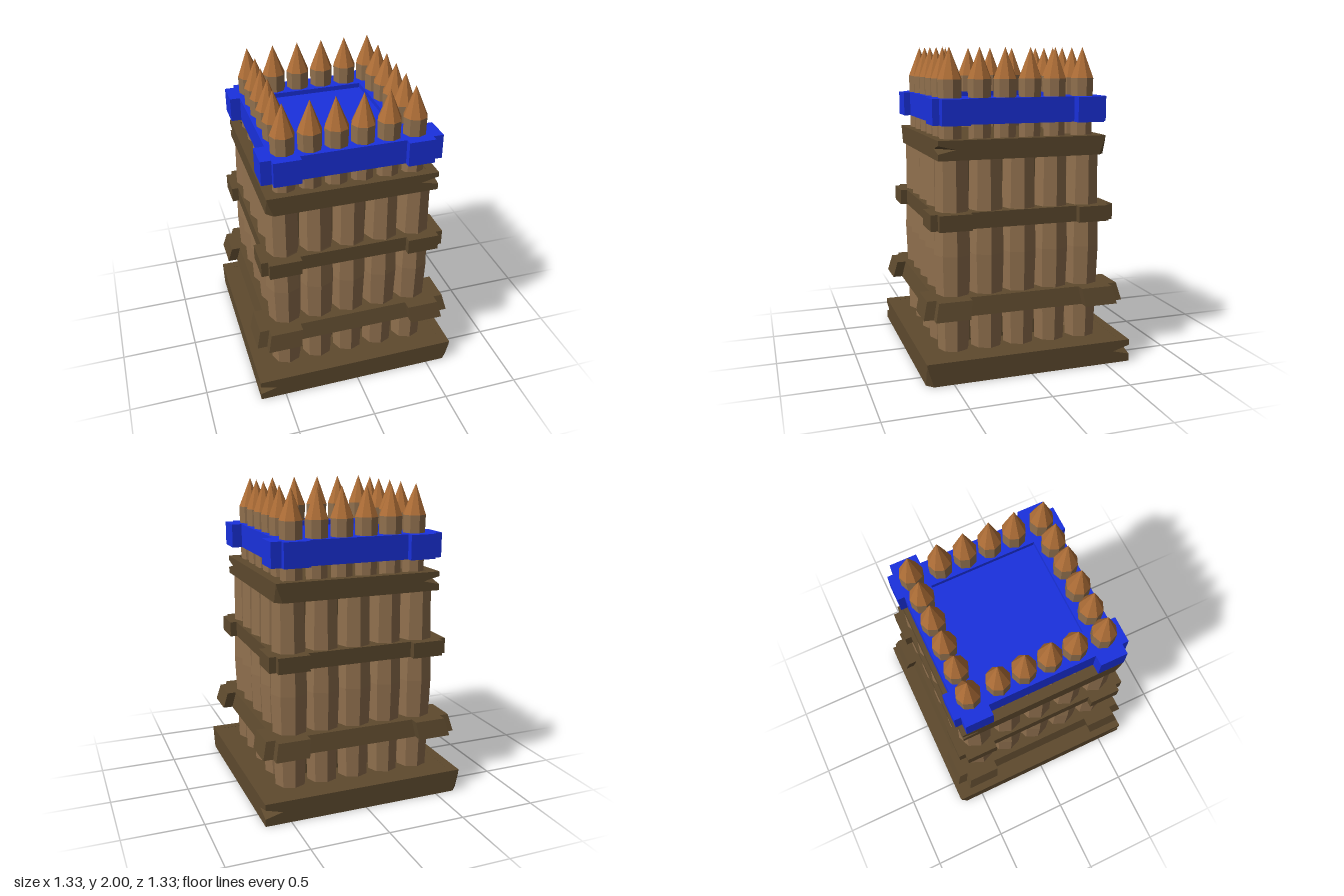
import * as THREE from 'three';

const log = new THREE.MeshStandardMaterial({ color: 0x90704e });
log.name = 'log wood';
const plank = new THREE.MeshStandardMaterial({ color: 0x5e4a2e });
plank.name = 'dark plank wood';
const tip = new THREE.MeshStandardMaterial({ color: 0xae6e37 });
tip.name = 'cut wood';
const blue = new THREE.MeshStandardMaterial({ color: 0x1a31de });
blue.name = 'blue paint';

// Small seeded generator for hand-hewn variation, -1 to 1
let seed = 7;
const vary = () => ((seed = (seed * 16807) % 2147483647) / 2147483647) * 2 - 1;

// Faceted mesh: unshared vertices with face normals
function mesh(name, geometry, material, x = 0, y = 0, z = 0) {
  const g = geometry.index ? geometry.toNonIndexed() : geometry;
  g.computeVertexNormals();
  const m = new THREE.Mesh(g, material);
  m.name = name;
  m.position.set(x, y, z);
  return m;
}

const lathe = (pts) => new THREE.LatheGeometry(pts.map((p) => new THREE.Vector2(...p)), 8);

// Square frame lofted through 12-point rings; two opposite corners are split
// by a pointed notch, the other two are chamfered towards the bottom.
function notchedFrame(name, h, y0, y1, notchFirst) {
  const H = y1 - y0, notchSize = 0.11, chamferSize = 0.04;
  // [half size, height, notch pull, chamfer pull], outside upwards then inside downwards
  const layers = [
    [h, y0, 0, 1], [h, y0 + H * 0.33, 0, 0.63], [h, y0 + H * 0.53, 1, 0.41],
    [h, y0 + H * 0.75, 0, 0.17], [h, y1, 0, 0],
    [h - 0.06, y1, 0, 0], [h - 0.06, y0 + H * 0.35, 0, 0], [h - 0.022, y0, 0, 0],
  ];
  const pos = [], idx = [];
  for (const [s, y, notch, chamfer] of layers) {
    for (let q = 0; q < 4; q++) {
      const notched = (q % 2 === 0) === notchFirst;
      const k = notched ? notchSize : chamferSize * chamfer + 0.001;
      const pull = notched ? (k / 2) * notch : k / 2;
      for (let [x, z] of [[s, s - k], [s - pull, s - pull], [s - k, s]]) {
        for (let r = 0; r < q; r++) [x, z] = [-z, x];
        pos.push(x, y, z);
      }
    }
  }
  const n = layers.length;
  for (let j = 0; j < n; j++) {
    for (let i = 0; i < 12; i++) {
      const a = j * 12 + i, b = j * 12 + ((i + 1) % 12);
      const c = ((j + 1) % n) * 12 + i, d = ((j + 1) % n) * 12 + ((i + 1) % 12);
      // the diagonal runs to the tip of the notch
      if (i % 3 < 2 && j === 2 - (i % 3)) idx.push(a, c, d, a, d, b);
      else idx.push(a, c, b, b, c, d);
    }
  }
  const g = new THREE.BufferGeometry();
  g.setAttribute('position', new THREE.Float32BufferAttribute(pos, 3));
  g.setIndex(idx);
  return mesh(name, g, plank);
}

// Strap with thickened corner blocks. reach: block face; fx, fz: strap faces;
// sx, sz: where the blocks start; an optional hole spans sx by sz.
function strap(name, reach, [fx, fz], [sx, sz], y0, y1, material, hollow = false, topScale = 1) {
  const quarter = [[fx, sz], [reach, sz], [reach, fz], [fx, fz], [fx, reach], [sx, reach], [sx, fz]];
  const flip = (mx, mz) => quarter.map(([x, z]) => new THREE.Vector2(x * mx, z * mz));
  const shape = new THREE.Shape([
    ...flip(1, 1), ...flip(-1, 1).reverse(), ...flip(-1, -1), ...flip(1, -1).reverse(),
  ]);
  if (hollow) {
    shape.holes.push(new THREE.Path([[-sx, -sz], [-sx, sz], [sx, sz], [sx, -sz]]
      .map((p) => new THREE.Vector2(...p))));
  }
  const g = new THREE.ExtrudeGeometry(shape, { depth: y1 - y0, bevelEnabled: false });
  g.rotateX(-Math.PI / 2);
  const p = g.attributes.position;
  for (let i = 0; i < p.count; i++) {
    if (p.getY(i) > 0.001) p.setXYZ(i, p.getX(i) * topScale, p.getY(i), p.getZ(i) * topScale);
  }
  return mesh(name, g, material, 0, y0, 0);
}

// Positions around a square with n items per side
function around(n, hx, hz) {
  const out = [];
  for (let i = 0; i < n; i++) {
    const u = (i / (n - 1)) * 2 - 1;
    out.push([u * hx, hz], [u * hx, -hz]);
    if (i > 0 && i < n - 1) out.push([hx, u * hx], [-hx, u * hx]);
  }
  return out;
}

export function createModel() {
  const model = new THREE.Group();
  model.name = 'palisade tower';

  // Base: hollow rim with a plate under its top
  model.add(notchedFrame('baseFrame', 0.665, 0, 0.145, false));
  model.add(mesh('basePlate', new THREE.BoxGeometry(1.215, 0.02, 1.215), plank, 0, 0.134, 0));

  const body = new THREE.Group();
  body.name = 'towerBody';
  body.position.set(-0.006, 0, 0.01);
  model.add(body);

  // Wall logs, slightly swollen in the middle, with hollow feet
  const walls = new THREE.Group();
  walls.name = 'wallLogs';
  for (const [x, z] of around(5, 0.428, 0.428)) {
    const v = vary() * 0.004;
    const g = lathe([[0, 0.11], [0.08, 0.11], [0.085, 0.03], [0.096, 0.03], [0.106 + v, 0.4],
      [0.118 + v, 0.75], [0.107 + v, 1.03], [0.102, 1.37], [0, 1.37]]);
    walls.add(mesh('wallLog', g, log, x, 0, z));
  }
  body.add(walls);
  body.add(mesh('innerCore', new THREE.BoxGeometry(0.7, 1.26, 0.7), plank, 0, 0.77, 0));

  // Straps and top frame
  body.add(strap('lowerStrap', 0.652, [0.59, 0.59], [0.375, 0.375], 0.39, 0.5, plank, false, 0.957));
  body.add(strap('middleStrap', 0.59, [0.547, 0.547], [0.345, 0.345], 0.92, 1.02, plank));
  body.add(notchedFrame('topFrame', 0.537, 1.335, 1.455, true));
  body.add(mesh('topDeck', new THREE.BoxGeometry(0.956, 0.1, 0.956), plank, 0, 1.395, 0));

  // Blue parapet with a shallow sunken floor
  body.add(strap('parapet', 0.557, [0.492, 0.515], [0.325, 0.342], 1.54, 1.695, blue, true));
  body.add(mesh('parapetFloor', new THREE.BoxGeometry(0.66, 0.12, 0.69), blue, 0, 1.605, 0));

  // Sharpened stakes
  const stakes = new THREE.Group();
  stakes.name = 'stakes';
  for (const [x, z] of around(6, 0.405, 0.428)) {
    const stake = new THREE.Group();
    stake.name = 'stake';
    stake.position.set(x, 0, z);
    stake.add(mesh('stakeShaft', lathe([[0.07, 1.42], [0.073, 1.7], [0.075, 1.805]]), log));
    const cone = new THREE.ConeGeometry(0.075, 0.19, 8, 1, true);
    const lean = vary() * 0.008;
    cone.translate(0, 0.095, 0);
    const p = cone.attributes.position;
    for (let i = 0; i < p.count; i++) if (p.getY(i) > 0.1) p.setX(i, lean);
    stake.add(mesh('stakeTip', cone, tip, 0, 1.805, 0));
    stakes.add(stake);
  }
  body.add(stakes);
  return model;
}
